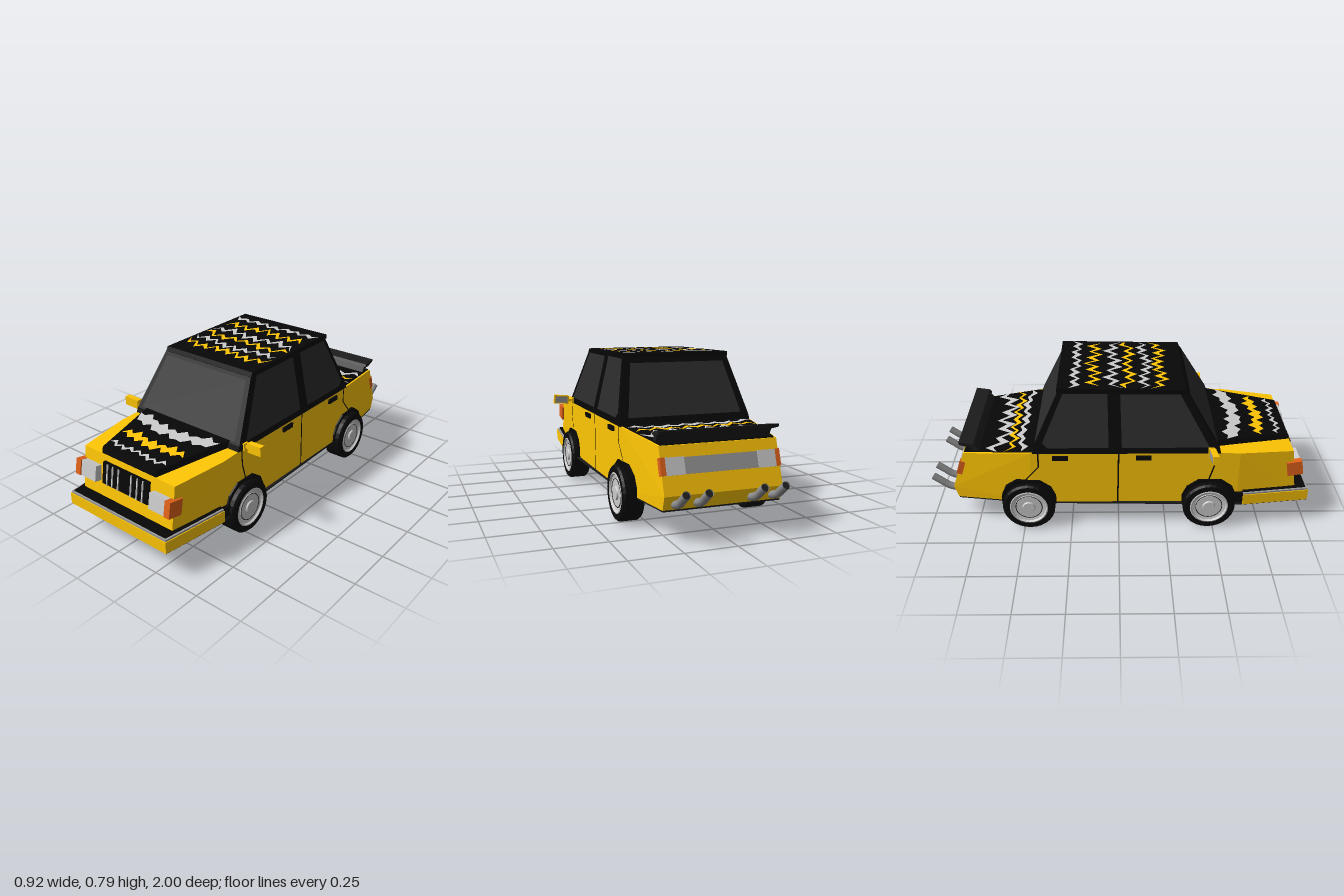
import * as THREE from 'three';
import { ConvexGeometry } from 'three/addons/geometries/ConvexGeometry.js';

const V = (x, y, z) => new THREE.Vector3(x, y, z);
const mat = (color, extra = {}) => new THREE.MeshStandardMaterial({ color, side: THREE.DoubleSide, ...extra });

export function createModel() {
  const car = new THREE.Group();
  car.name = 'car';
  const yellow = mat(0xffc604), black = mat(0x070707), glass = mat(0x2b2b2b), grey = mat(0xcccccc),
    silver = mat(0x999999), orange = mat(0xe0621a), dark = mat(0x1c1c1c), pipe = mat(0x8c8c8c);

  const add = (name, geo, m, parent = car) => {
    const mesh = new THREE.Mesh(geo, m);
    mesh.name = name;
    parent.add(mesh);
    return mesh;
  };
  // convex solid, symmetric about x = 0, from its left-hand corners
  const solid = (name, pts, m) =>
    add(name, new ConvexGeometry(pts.flatMap(([x, y, z]) => [V(x, y, z), V(-x, y, z)])), m);
  const box = (name, x, y, z, w, h, d, m, parent) => {
    const b = add(name, new THREE.BoxGeometry(w, h, d), m, parent);
    b.position.set(x, y, z);
    return b;
  };
  // thin panel from a fan of corners
  const panel = (name, pts, m) => {
    const tri = [];
    for (let i = 1; i < pts.length - 1; i++) tri.push(...pts[0], ...pts[i], ...pts[i + 1]);
    const g = new THREE.BufferGeometry();
    g.setAttribute('position', new THREE.Float32BufferAttribute(tri, 3));
    g.computeVertexNormals();
    return add(name, g, m);
  };

  // lower body and floor
  solid('body', [
    [0.3, 0.145, 0.94], [0.3, 0.43, 0.9], [0.343, 0.145, 0.62], [0.343, 0.445, 0.62],
    [0.343, 0.45, 0.5], [0.343, 0.145, -0.46], [0.343, 0.45, -0.45],
    [0.29, 0.145, -0.85], [0.29, 0.21, -0.87], [0.29, 0.42, -0.8],
  ], yellow);
  solid('floor', [0.137, 0.146].flatMap(y =>
    [[0.323, y, 0.997], [0.365, y, 0.66], [0.342, y, 0.55], [0.342, y, -0.46], [0.288, y, -0.848]]), dark);

  // raised hood and boot lid
  solid('hood', [
    [0.18, 0.42, 0.9], [0.18, 0.461, 0.89], [0.285, 0.43, 0.49], [0.285, 0.488, 0.49],
  ], black);
  solid('bootLid', [
    [0.335, 0.44, -0.42], [0.335, 0.455, -0.42], [0.33, 0.44, -0.47], [0.33, 0.453, -0.47],
    [0.28, 0.41, -0.795], [0.28, 0.426, -0.795],
  ], black);

  // cabin and roof
  solid('cabin', [
    [0.345, 0.448, 0.52], [0.345, 0.448, -0.44], [0.343, 0.475, 0.51], [0.343, 0.475, -0.43],
    [0.28, 0.755, 0.345], [0.28, 0.765, -0.295],
  ], black);
  solid('roof', [
    [0.28, 0.75, 0.345], [0.28, 0.777, 0.333], [0.28, 0.765, -0.305], [0.28, 0.787, -0.305],
  ], black);

  // windows
  const frontZ = y => 0.513 - 0.165 * (y - 0.475) / 0.28;
  const rearZ = y => -0.433 + 0.135 * (y - 0.475) / 0.29;
  const sideX = y => 0.347 - 0.063 * (y - 0.475) / 0.28;
  panel('windscreen', [[-0.31, 0.487], [0.31, 0.487], [0.26, 0.74], [-0.26, 0.74]]
    .map(([x, y]) => [x, y, frontZ(y)]), glass);
  panel('rearWindow', [[0.3, 0.487], [-0.3, 0.487], [-0.25, 0.74], [0.25, 0.74]]
    .map(([x, y]) => [x, y, rearZ(y)]), glass);
  for (const s of [1, -1]) {
    const onSide = ([z, y]) => [s * sideX(y), y, z];
    panel('frontSideWindow', [[0.46, 0.483], [0.016, 0.483], [0.008, 0.755], [0.305, 0.755]].map(onSide), glass);
    panel('rearSideWindow', [[-0.05, 0.483], [-0.36, 0.483], [-0.385, 0.51], [-0.275, 0.76], [-0.055, 0.76]]
      .map(onSide), glass);

    // door seams and handles
    const seam = (z0, y0, z1, y1) => panel('doorSeam', [
      [s * 0.3455, y0, z0 - 0.004], [s * 0.3455, y0, z0 + 0.004],
      [s * 0.3455, y1, z1 + 0.004], [s * 0.3455, y1, z1 - 0.004]], black);
    seam(0, 0.45, -0.005, 0.146);
    seam(0.495, 0.45, 0.49, 0.37);
    seam(0.49, 0.37, 0.465, 0.28);
    seam(-0.41, 0.45, -0.41, 0.37);
    seam(-0.41, 0.37, -0.48, 0.29);
    for (const z of [0.127, -0.297]) box('doorHandle', s * 0.346, 0.424, z, 0.014, 0.024, 0.08, black);

    // mirror
    const mirror = new THREE.Group();
    mirror.name = 'mirror';
    mirror.position.set(s * 0.415, 0.472, 0.475);
    mirror.rotation.set(0, s * -0.08, s * 0.08);
    car.add(mirror);
    box('mirrorShell', 0, 0, 0, 0.084, 0.048, 0.03, yellow, mirror);
    box('mirrorGlass', 0, 0, -0.0155, 0.07, 0.036, 0.002, silver, mirror);
    box('mirrorStem', s * -0.055, -0.004, 0, 0.04, 0.014, 0.012, yellow, mirror);
    box('mirrorFoot', s * -0.068, -0.004, 0, 0.012, 0.036, 0.03, yellow, mirror);

    // headlights and corner indicators
    box('headlight', s * 0.235, 0.33, 0.92, 0.11, 0.08, 0.06, grey).rotation.x = -0.18;
    box('frontIndicator', s * 0.299, 0.33, 0.916, 0.034, 0.08, 0.08, orange).rotation.x = -0.18;
    // tail lights
    box('tailLight', s * 0.225, 0.33, -0.821, 0.09, 0.08, 0.03, grey).rotation.x = 0.32;
    box('rearIndicator', s * 0.281, 0.33, -0.817, 0.026, 0.08, 0.036, orange).rotation.x = 0.32;
    // black bumper end in front of the wheel
    box('bumperEnd', s * 0.335, 0.172, 0.628, 0.05, 0.066, 0.06, black);
  }
  box('tailPanel', 0, 0.33, -0.824, 0.36, 0.075, 0.018, silver).rotation.x = 0.32;

  // grille
  box('grille', 0, 0.345, 0.912, 0.306, 0.112, 0.03, black).rotation.x = -0.17;
  for (const x of [0.043, 0.083, 0.119])
    for (const s of [1, -1]) box('grilleBar', s * x, 0.345, 0.927, 0.006, 0.106, 0.012, grey).rotation.x = -0.17;

  // front bumper with trim layers
  const bumper = (name, y0, y1, inset, m) => solid(name, [y0, y1].flatMap(y => [
    [0.325 - inset, y, 1 - inset], [0.368 - inset, y, 0.65]]), m);
  bumper('bumper', 0.14, 0.2, 0, yellow);
  bumper('bumperTrim', 0.2, 0.209, 0.004, silver);
  bumper('bumperTop', 0.208, 0.214, 0.014, black);

  // wheel arches and wheels
  const archShape = new THREE.Shape([[-0.142, 0.14], [-0.142, 0.19], [-0.118, 0.245], [-0.06, 0.287], [0.06, 0.287],
    [0.118, 0.245], [0.142, 0.19], [0.142, 0.14]].map(p => new THREE.Vector2(...p)));
  const lathe = pts => new THREE.LatheGeometry(pts.map(p => new THREE.Vector2(...p)), 28).rotateZ(-Math.PI / 2);
  const tyre = lathe([[0.096, -0.04], [0.1, -0.052], [0.128, -0.052], [0.137, -0.042], [0.137, 0.042],
    [0.128, 0.052], [0.1, 0.052], [0.096, 0.04]]);
  const rim = lathe([[0.1, 0.052], [0.094, 0.054], [0.088, 0.044], [0.072, 0.04], [0.066, 0.046],
    [0.034, 0.046], [0.03, 0.054], [0, 0.054]]);
  const flatBlack = mat(0x090909, { flatShading: true }), flatGrey = mat(0xbcbcbc, { flatShading: true });
  for (const s of [1, -1]) for (const z of [0.473, -0.47]) {
    const arch = add('wheelArch', new THREE.ExtrudeGeometry(archShape, { depth: 0.12, bevelEnabled: false }), black);
    arch.rotation.y = s * Math.PI / 2;
    arch.position.set(s * 0.232, 0, z);
    const wheel = new THREE.Group();
    wheel.name = 'wheel';
    wheel.position.set(s * 0.332, 0.137, z);
    car.add(wheel);
    add('tyre', tyre, flatBlack, wheel);
    // the same dished rim on both faces
    for (const face of [1, -1]) {
      add('rim', rim, flatGrey, wheel).rotation.y = face > 0 ? 0 : Math.PI;
      for (const r of [0.069, 0.032]) {
        const ring = add('rimRing', new THREE.TorusGeometry(r, 0.002, 4, 28), dark, wheel);
        ring.rotation.y = Math.PI / 2;
        ring.position.x = face * 0.046;
      }
    }
  }

  // spoiler: raked foot with a wing on top
  const section = (name, half, pts) => solid(name, pts.map(([z, y]) => [half, y, z]), dark);
  section('spoilerFoot', 0.285, [[-0.715, 0.43], [-0.745, 0.425], [-0.77, 0.465], [-0.74, 0.468]]);
  section('spoilerWing', 0.295, [[-0.73, 0.462], [-0.742, 0.476], [-0.815, 0.487], [-0.812, 0.472], [-0.76, 0.457]]);

  // four upswept exhausts
  const path = new THREE.CatmullRomCurve3([V(0, 0.165, -0.8), V(0, 0.17, -0.86), V(0, 0.187, -0.91),
    V(0, 0.215, -0.947), V(0, 0.243, -0.984)]);
  for (const x of [-0.24, -0.135, 0.13, 0.235]) {
    add('exhaust', new THREE.TubeGeometry(path, 16, 0.019, 12), pipe).position.x = x;
    const bore = add('exhaustBore', new THREE.CircleGeometry(0.018, 12), dark);
    bore.position.set(x, 0.239, -0.979);
    bore.rotation.x = -2.45;
  }

  // zigzag paint bands: [z, half width, thickness, swing, teeth per half, end sweep, material]
  const band = (heightAt, [z, half, thick, swing, teeth, sweep, m]) => {
    const pos = [], idx = [];
    for (let i = -teeth; i <= teeth; i++) {
      const k = Math.abs(i), x = i / teeth * half;
      const zc = z + sweep * (k / teeth) ** 3
        + (k % 2 ? 1 : -1) * swing * (0.65 + 0.35 * Math.sin(k * 2.3 + z * 40));
      const t = k === teeth ? 0.001 : thick * (0.75 + 0.25 * Math.cos(k * 1.7 + z * 25)) / 2;
      for (const e of [zc - t, zc + t]) pos.push(x, heightAt(e), e);
      if (i < teeth) {
        const a = (i + teeth) * 2;
        idx.push(a, a + 1, a + 2, a + 2, a + 1, a + 3);
      }
    }
    const g = new THREE.BufferGeometry();
    g.setAttribute('position', new THREE.Float32BufferAttribute(pos, 3));
    g.setIndex(idx);
    g.computeVertexNormals();
    add('zigzagBand', g, m);
  };
  const hoodY = z => 0.4905 - 0.0675 * (z - 0.49);
  const roofY = z => 0.784 - 0.0157 * z;
  const bootY = z => 0.4555 + 0.0832 * (z + 0.47);
  [[0.615, 0.265, 0.085, 0.018, 8, -0.05, grey], [0.745, 0.205, 0.062, 0.022, 7, -0.02, yellow],
    [0.838, 0.185, 0.024, 0.018, 7, -0.01, grey]].forEach(b => band(hoodY, b));
  [[-0.215, 0.275, 0.034, 0.024, 8, -0.02, grey], [-0.135, 0.25, 0.036, 0.04, 7, 0.03, yellow],
    [-0.03, 0.27, 0.04, 0.038, 7, 0.02, grey], [0.06, 0.27, 0.034, 0.034, 7, -0.04, yellow],
    [0.14, 0.27, 0.034, 0.03, 8, -0.02, grey], [0.215, 0.27, 0.036, 0.036, 8, -0.02, yellow]]
    .forEach(b => band(roofY, b));
  [[-0.605, 0.315, 0.05, 0.044, 7, -0.03, grey], [-0.545, 0.32, 0.028, 0.026, 8, -0.02, yellow],
    [-0.505, 0.325, 0.034, 0.018, 8, 0.015, grey]].forEach(b => band(z => bootY(z) + (b[6] === yellow ? 0.0006 : 0), b));

  return car;
}
